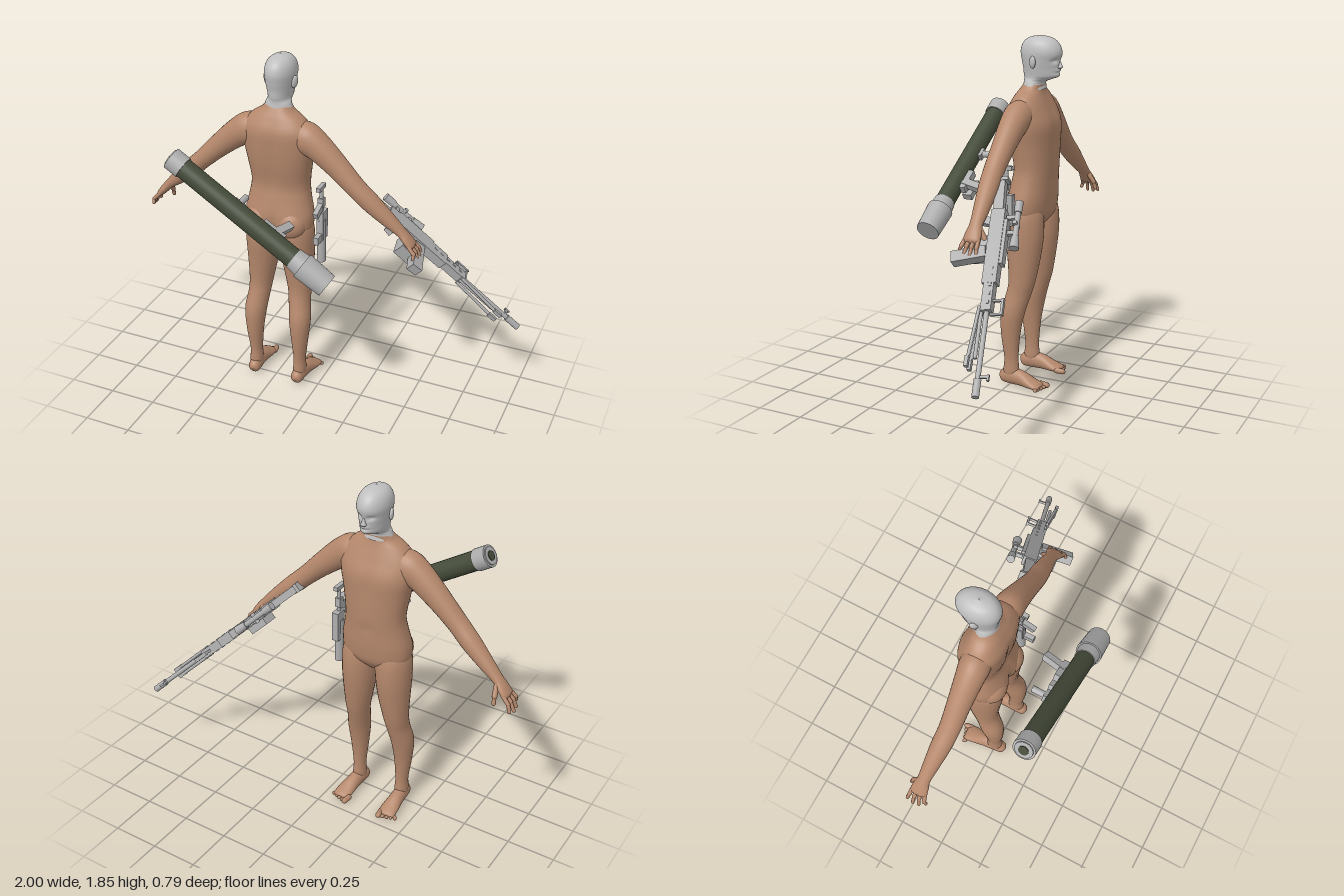
import * as THREE from 'three';

const material = (name, color) => Object.assign(new THREE.MeshStandardMaterial({ color }), { name });

// Smooth skin over ellipses; row = [x, y, z, radius across, radius in z]
function loft(rows, { seg = 28, sub = 5, power = 1, mold } = {}) {
  const rings = [], n = rows.length;
  for (let i = 0; i < n - 1; i++) {
    for (let k = 0; k < sub + (i === n - 2 ? 1 : 0); k++) {
      const t = k / sub, p = [rows[Math.max(i - 1, 0)], rows[i], rows[i + 1], rows[Math.min(i + 2, n - 1)]];
      rings.push(rows[0].map((_, c) => {
        const [a, b, d, e] = p.map((r) => r[c]);
        return 0.5 * (2 * b + (d - a) * t + (2 * a - 5 * b + 4 * d - e) * t * t + (3 * b - a - 3 * d + e) * t ** 3);
      }));
    }
  }
  const pos = [], idx = [], v = new THREE.Vector3();
  const pw = (q) => Math.sign(q) * Math.abs(q) ** power;
  rings.forEach(([x, y, z, a, b], i) => {
    const f = rings[Math.max(i - 1, 0)], g = rings[Math.min(i + 1, rings.length - 1)];
    const l = Math.hypot(g[0] - f[0], g[1] - f[1]) || 1;
    const tx = (g[0] - f[0]) / l, ty = (g[1] - f[1]) / l;
    for (let j = 0; j < seg; j++) {
      const w = (j / seg) * Math.PI * 2, c = pw(Math.cos(w)) * Math.max(a, 0.001);
      v.set(x - ty * c, y + tx * c, z + pw(Math.sin(w)) * Math.max(b, 0.001));
      if (mold) mold(v, z);
      pos.push(v.x, v.y, v.z);
      if (i < rings.length - 1) {
        const o = i * seg, j2 = (j + 1) % seg;
        idx.push(o + j, o + j2, o + seg + j2, o + j, o + seg + j2, o + seg + j);
      }
    }
  });
  const geo = new THREE.BufferGeometry();
  geo.setAttribute('position', new THREE.Float32BufferAttribute(pos, 3));
  geo.setIndex(idx);
  geo.computeVertexNormals();
  return geo;
}

const bump = (v, x, y, sx, sy) => Math.exp(-(((v.x - x) / sx) ** 2) - ((v.y - y) / sy) ** 2);

export function createModel() {
  const skin = material('skin', 0xb5886c);
  const headGrey = material('head grey', 0xc0c0c0);
  const metal = material('weapon grey', 0xaeaeae);
  const green = material('tube green', 0x454c3a);
  const root = new THREE.Group();
  const group = (name) => {
    const g = new THREE.Group();
    g.name = name;
    root.add(g);
    return g;
  };
  const add = (parent, name, geo, mat, p = [0, 0, 0], scale = [1, 1, 1]) => {
    const m = new THREE.Mesh(geo, mat);
    m.name = name;
    m.position.set(...p);
    m.scale.set(...scale);
    parent.add(m);
    return m;
  };
  const box = (parent, name, size, p, rz = 0, mat = metal) => {
    const m = add(parent, name, new THREE.BoxGeometry(...size), mat, p);
    m.rotation.z = rz;
    return m;
  };
  const ball = (parent, name, mat, p, size) => add(parent, name, new THREE.SphereGeometry(1, 18, 14), mat, p, size);
  // Cylinder between two points, optionally tapered or round-ended
  const rod = (parent, name, a, b, r, mat = metal, r2 = r, round = false) => {
    const A = new THREE.Vector3(...a), B = new THREE.Vector3(...b), d = B.clone().sub(A), len = d.length();
    const geo = round ? new THREE.CapsuleGeometry(r, len, 4, 10) : new THREE.CylinderGeometry(r2, r, len, 24);
    const m = add(parent, name, geo, mat, A.add(B).multiplyScalar(0.5).toArray());
    m.quaternion.setFromUnitVectors(new THREE.Vector3(0, 1, 0), d.normalize());
    return m;
  };

  // Body, facing -z
  const body = group('body');
  body.position.x = -0.24;
  add(body, 'torso', loft([
    [0, 0.86, -0.06, 0.05, 0.05], [0, 0.92, -0.06, 0.165, 0.1], [0, 1.0, -0.062, 0.184, 0.113],
    [0, 1.1, -0.075, 0.165, 0.105], [0, 1.18, -0.083, 0.156, 0.102], [0, 1.3, -0.075, 0.172, 0.113],
    [0, 1.4, -0.07, 0.19, 0.116], [0, 1.48, -0.055, 0.185, 0.1], [0, 1.54, -0.055, 0.14, 0.075],
    [0, 1.575, -0.06, 0.088, 0.06], [0, 1.6, -0.07, 0.066, 0.054],
  ], {
    seg: 40, power: 0.88,
    mold: (v, z) => {
      const back = v.z > z;
      // Spine groove, buttock cleft, chest and navel lines
      if (back) v.z -= 0.012 * bump(v, 0, 1.28, 0.025, 0.2) + 0.025 * bump(v, 0, 0.95, 0.018, 0.09);
      else v.z += 0.01 * bump(v, 0, 1.36, 0.025, 0.12) + 0.006 * bump(v, 0, 1.12, 0.015, 0.03);
    },
  }), skin);

  for (const s of [1, -1]) {
    const side = s > 0 ? 'left' : 'right';
    const mirror = (rows) => rows.map(([x, ...r]) => [x * s, ...r]);
    ball(body, side + 'Buttock', skin, [0.085 * s, 0.97, -0.01], [0.082, 0.085, 0.07]);
    add(body, side + 'Arm', loft(mirror([
      [0.08, 1.475, -0.055, 0.06, 0.06], [0.15, 1.45, -0.052, 0.083, 0.075], [0.22, 1.41, -0.05, 0.073, 0.068],
      [0.32, 1.325, -0.05, 0.06, 0.058], [0.42, 1.23, -0.05, 0.05, 0.052], [0.5, 1.155, -0.058, 0.048, 0.05],
      [0.59, 1.075, -0.068, 0.037, 0.04], [0.655, 1.018, -0.075, 0.025, 0.033], [0.69, 0.98, -0.078, 0.022, 0.042],
      [0.715, 0.952, -0.08, 0.017, 0.042], [0.725, 0.942, -0.08, 0.003, 0.02],
    ])), skin);
    add(body, side + 'Leg', loft(mirror([
      [0.09, 1.0, -0.06, 0.07, 0.08], [0.093, 0.93, -0.06, 0.09, 0.1], [0.097, 0.83, -0.062, 0.09, 0.102],
      [0.102, 0.72, -0.062, 0.081, 0.09], [0.112, 0.58, -0.055, 0.064, 0.072], [0.118, 0.5, -0.037, 0.058, 0.067],
      [0.13, 0.4, -0.01, 0.058, 0.065], [0.132, 0.28, 0, 0.046, 0.052], [0.13, 0.15, -0.003, 0.033, 0.039],
      [0.13, 0.07, -0.003, 0.035, 0.044], [0.13, 0.03, -0.005, 0.025, 0.03],
    ])), skin);
    // Foot lofted lengthwise, then turned to point forward
    const foot = add(body, side + 'Foot', loft([
      [-0.06, 0.03, 0, 0.003, 0.003], [-0.05, 0.034, 0, 0.031, 0.028], [-0.005, 0.045, 0, 0.045, 0.035],
      [0.06, 0.042, 0, 0.042, 0.037], [0.13, 0.026, 0.004, 0.026, 0.046], [0.175, 0.016, 0.004, 0.015, 0.044],
      [0.185, 0.014, 0.004, 0.002, 0.03],
    ]).rotateY(Math.PI / 2), skin, [0.13 * s, 0, 0], [1, 1, 1]);
    foot.rotation.y = -0.06 * s;
    for (let i = 0; i < 5; i++) {
      const x = (0.1 + 0.021 * i) * s, r = i ? 0.01 : 0.015;
      rod(body, side + 'Toe', [x, r + 0.002, -0.165], [x + 0.005 * s, r, -0.2 + 0.007 * i], r, skin, r, true);
    }
    // Fingers fan across z
    for (let i = 0; i < 4; i++) {
      const z = -0.112 + 0.022 * i, end = -0.125 + 0.032 * i, drop = [0, 0.008, 0.004, -0.012][i];
      const mid = [0.738 * s, 0.927, (z + end) / 2];
      rod(body, side + 'Finger', [0.7 * s, 0.965, z], mid, 0.0105, skin, 0.01, true);
      rod(body, side + 'Fingertip', mid, [(0.75 + drop) * s, 0.892 - drop, end], 0.009, skin, 0.009, true);
    }
    rod(body, side + 'Thumb', [0.665 * s, 1.0, -0.1], [0.672 * s, 0.955, -0.13], 0.013, skin, 0.01, true);
    rod(body, side + 'ThumbTip', [0.672 * s, 0.955, -0.13], [0.675 * s, 0.92, -0.14], 0.01, skin, 0.01, true);
    ball(body, side + 'Ear', headGrey, [0.077 * s, 1.715, -0.09], [0.011, 0.032, 0.02]).rotation.set(-0.15, -0.4 * s, -0.12 * s);
  }

  // Head with brow, eye sockets, mouth and tapering face
  add(body, 'head', loft([
    [0, 1.575, -0.068, 0.078, 0.058], [0, 1.61, -0.07, 0.066, 0.055], [0, 1.628, -0.09, 0.06, 0.075],
    [0, 1.645, -0.107, 0.062, 0.096], [0, 1.68, -0.106, 0.068, 0.098], [0, 1.72, -0.104, 0.074, 0.104],
    [0, 1.765, -0.104, 0.077, 0.11], [0, 1.805, -0.102, 0.067, 0.095], [0, 1.832, -0.1, 0.043, 0.062],
    [0, 1.845, -0.1, 0.002, 0.003],
  ], {
    seg: 48, sub: 7,
    mold: (v, z) => {
      if (v.z > z || v.y < 1.615) return;
      const low = THREE.MathUtils.clamp((1.75 - v.y) / 0.1, 0, 1);
      v.x *= 1 - 0.22 * low * Math.min(1, (z - v.z) / 0.09);
      v.z += 0.014 * (bump(v, 0.03, 1.722, 0.016, 0.011) + bump(v, -0.03, 1.722, 0.016, 0.011));
      v.z += 0.006 * bump(v, 0, 1.662, 0.03, 0.005) - 0.006 * bump(v, 0, 1.675, 0.025, 0.008);
    },
  }), headGrey);
  add(body, 'nose', loft([
    [0, 1.678, -0.2, 0.006, 0.004], [0, 1.686, -0.204, 0.015, 0.015], [0, 1.695, -0.203, 0.012, 0.017],
    [0, 1.715, -0.198, 0.007, 0.013], [0, 1.738, -0.198, 0.006, 0.004],
  ], { seg: 16 }), headGrey);

  // Launcher tube slung behind, long axis on local x
  const launcher = group('launcher');
  launcher.position.set(-0.605, 1.385, 0.325);
  launcher.rotation.z = Math.atan2(-0.505, 0.79);
  const pipe = (parent, name, x0, x1, r, mat = metal, r2 = r, y = 0, z = 0) => rod(parent, name, [x0, y, z], [x1, y, z], r, mat, r2);
  pipe(launcher, 'tube', 0.01, 0.75, 0.051, green);
  pipe(launcher, 'endCap', -0.03, 0.045, 0.057);
  pipe(launcher, 'endCapRing', -0.036, -0.028, 0.046);
  pipe(launcher, 'endCapHub', -0.04, -0.03, 0.025, green);
  pipe(launcher, 'collar', 0.73, 0.785, 0.055, metal, 0.06);
  pipe(launcher, 'bell', 0.785, 0.94, 0.068, metal, 0.061);
  rod(launcher, 'frontGrip', [0.36, 0, -0.03], [0.36, 0, -0.13], 0.017);
  box(launcher, 'frontGripMount', [0.06, 0.035, 0.03], [0.36, 0, -0.05]);
  const grip = box(launcher, 'triggerGrip', [0.04, 0.035, 0.13], [0.6, 0.005, -0.11]);
  grip.rotation.y = -0.25;
  box(launcher, 'triggerHousing', [0.13, 0.04, 0.04], [0.57, 0, -0.058]);
  box(launcher, 'sightBox', [0.11, 0.035, 0.05], [0.56, -0.072, -0.06]);
  box(launcher, 'sightArm', [0.04, 0.06, 0.02], [0.56, -0.045, -0.05]);

  // Small gun hanging upright at the hip
  const sidearm = group('sidearm');
  sidearm.position.set(0.005, 0, -0.02);
  rod(sidearm, 'barrelSleeve', [0, 0.78, -0.01], [0, 1.02, -0.01], 0.023);
  box(sidearm, 'receiver', [0.036, 0.16, 0.06], [0, 0.99, -0.02]);
  rod(sidearm, 'stockRod', [0, 1.03, -0.01], [0, 1.2, -0.01], 0.01);
  box(sidearm, 'stockEnd', [0.022, 0.022, 0.075], [0, 1.205, -0.005]);
  box(sidearm, 'stockBlock', [0.03, 0.05, 0.03], [0, 1.12, -0.01]);
  box(sidearm, 'pistolGrip', [0.026, 0.035, 0.08], [0, 1.09, 0.03]).rotation.x = 0.4;
  box(sidearm, 'magazine', [0.026, 0.04, 0.09], [0, 0.93, 0.02]);

  // Long rifle: local x runs to the muzzle, local y is its sight side
  const rifle = group('rifle');
  const X = new THREE.Vector3(0.79, -0.77, -0.255).normalize();
  const Y = new THREE.Vector3(0, 0, -1).addScaledVector(X, X.z).normalize();
  rifle.quaternion.setFromRotationMatrix(new THREE.Matrix4().makeBasis(X, Y, X.clone().cross(Y)));
  rifle.position.set(0.19, 1.19, -0.11);
  box(rifle, 'buttPlate', [0.02, 0.085, 0.045], [0.005, -0.015, 0]);
  box(rifle, 'stock', [0.2, 0.05, 0.038], [0.1, -0.008, 0], 0.05);
  box(rifle, 'receiver', [0.4, 0.07, 0.05], [0.38, 0, 0]);
  box(rifle, 'receiverCover', [0.24, 0.02, 0.042], [0.36, 0.042, 0]);
  box(rifle, 'foreEnd', [0.18, 0.05, 0.046], [0.63, 0, 0]);
  for (let i = 0; i < 5; i++) box(rifle, 'coolingSlot', [0.018, 0.012, 0.054], [0.5 + i * 0.045, 0.008, 0]);
  pipe(rifle, 'barrel', 0.7, 1.1, 0.012);
  pipe(rifle, 'gasTube', 0.7, 0.95, 0.009, metal, 0.009, -0.026);
  pipe(rifle, 'muzzle', 1.05, 1.135, 0.017);
  box(rifle, 'frontSight', [0.012, 0.045, 0.012], [1.04, 0.028, 0]);
  box(rifle, 'frontSightTop', [0.03, 0.01, 0.012], [1.045, 0.048, 0]);
  for (const x of [0.665, 0.735]) box(rifle, 'handlePost', [0.01, 0.055, 0.012], [x, 0.045, 0]);
  box(rifle, 'handleBar', [0.085, 0.012, 0.02], [0.7, 0.073, 0]);
  for (const z of [-0.02, 0.02]) {
    rod(rifle, 'bipodLeg', [0.7, -0.03, z], [0.98, -0.055, z], 0.008);
    box(rifle, 'bipodFoot', [0.05, 0.018, 0.02], [0.97, -0.055, z]);
  }
  pipe(rifle, 'scope', 0.15, 0.38, 0.014, metal, 0.014, 0.092);
  pipe(rifle, 'scopeEyepiece', 0.14, 0.2, 0.021, metal, 0.018, 0.092);
  pipe(rifle, 'scopeLens', 0.33, 0.395, 0.018, metal, 0.024, 0.092);
  rod(rifle, 'scopeDial', [0.265, 0.09, -0.028], [0.265, 0.09, 0.028], 0.011);
  for (const x of [0.225, 0.31]) box(rifle, 'scopeMount', [0.02, 0.05, 0.02], [x, 0.065, 0]);
  box(rifle, 'ammoBox', [0.11, 0.1, 0.07], [0.37, -0.085, -0.028]);
  box(rifle, 'magazine', [0.06, 0.17, 0.05], [0.415, -0.125, -0.005], 0.12);
  box(rifle, 'pistolGrip', [0.04, 0.1, 0.03], [0.23, -0.07, 0], -0.3);
  return root;
}
